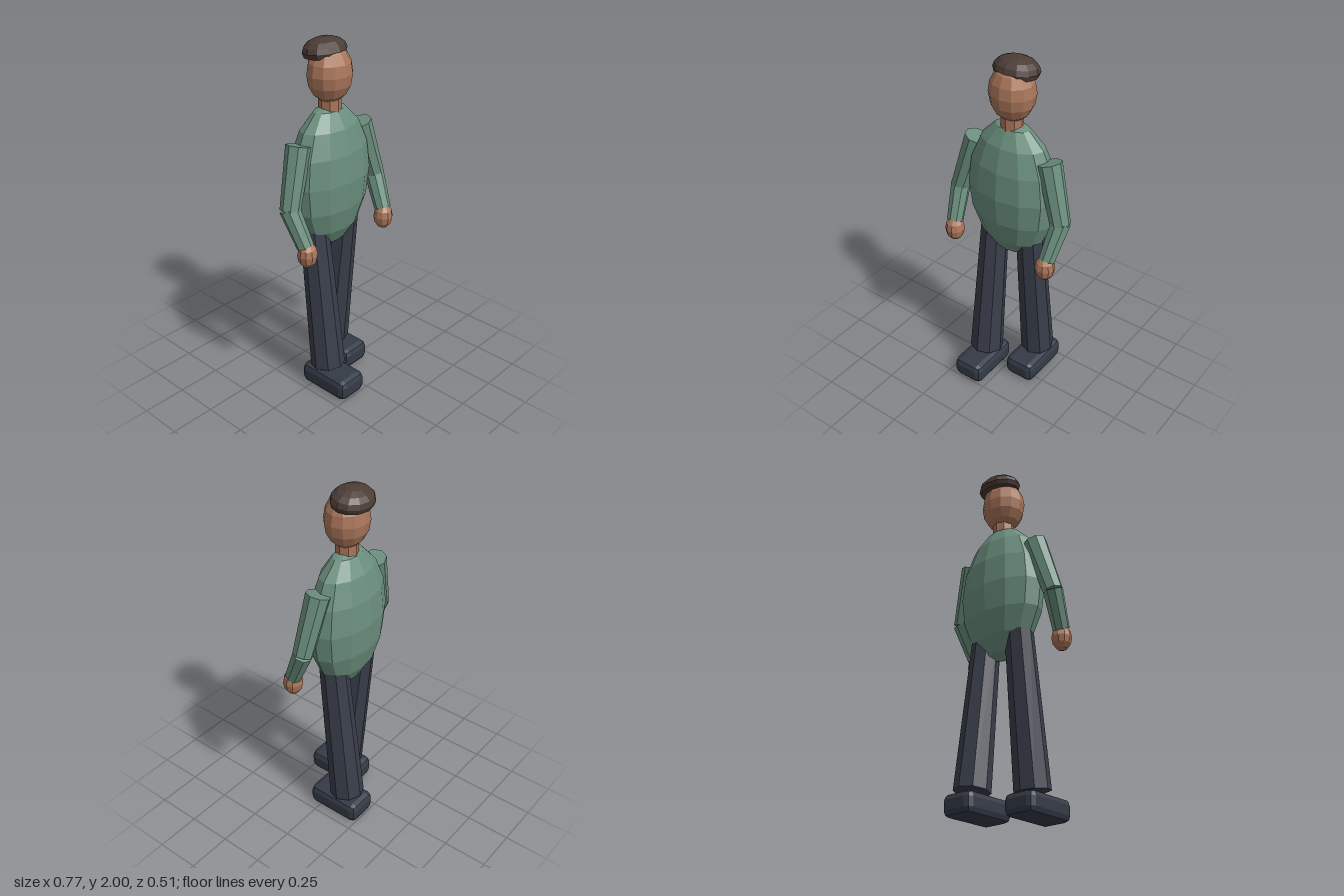
import * as THREE from 'three';
import { RoundedBoxGeometry } from 'three/addons/geometries/RoundedBoxGeometry.js';

const material = (name, color) => {
  const m = new THREE.MeshStandardMaterial({ color, flatShading: true });
  m.name = name;
  return m;
};

export function createModel() {
  const model = new THREE.Group();
  model.name = 'walkingMan';

  const shirt = material('shirtGreen', 0x6b8f7e);
  const trousers = material('trouserSlate', 0x393e4a);
  const leather = material('shoeSlate', 0x343b47);
  const skin = material('skin', 0xaa765a);
  const hairBrown = material('hairBrown', 0x4c3c36);

  const add = (name, geometry, mat, parent = model) => {
    const mesh = new THREE.Mesh(geometry, mat);
    mesh.name = name;
    parent.add(mesh);
    return mesh;
  };

  // Low-poly ellipsoid with the given centre and half sizes
  const ellipsoid = (name, mat, centre, radii, sides = 12, rows = 8, parent = model) => {
    const geometry = new THREE.SphereGeometry(1, sides, rows).scale(...radii);
    const mesh = add(name, geometry, mat, parent);
    mesh.position.set(...centre);
    return mesh;
  };

  // Tapered cylinder running from one point down to another
  const limb = (name, mat, top, bottom, rTop, rBottom, parent = model) => {
    const a = new THREE.Vector3(...top);
    const b = new THREE.Vector3(...bottom);
    const axis = a.clone().sub(b);
    const mesh = add(name, new THREE.CylinderGeometry(rTop, rBottom, axis.length(), 8), mat, parent);
    mesh.position.copy(a).add(b).multiplyScalar(0.5);
    mesh.quaternion.setFromUnitVectors(new THREE.Vector3(0, 1, 0), axis.normalize());
    return mesh;
  };

  // Body, neck and head
  ellipsoid('torso', shirt, [0, 1.255, -0.04], [0.27, 0.405, 0.155]);
  limb('neck', skin, [0, 1.71, -0.036], [0, 1.61, -0.036], 0.06, 0.06);
  ellipsoid('head', skin, [0, 1.82, -0.036], [0.127, 0.155, 0.115]);

  // Hair: a cap flattened underneath and tipped towards the back
  const hair = ellipsoid('hair', hairBrown, [0, 1.931, -0.07], [0.127, 0.069, 0.106]);
  const points = hair.geometry.attributes.position;
  for (let i = 0; i < points.count; i++) points.setY(i, Math.max(points.getY(i), -0.028));
  hair.rotation.x = -0.1;

  for (const side of [1, -1]) {
    const label = side > 0 ? 'left' : 'right';

    // Arm, bent forward at the elbow
    const arm = new THREE.Group();
    arm.name = label + 'Arm';
    model.add(arm);
    limb('upperArm', shirt, [side * 0.23, 1.493, -0.037], [side * 0.327, 1.17, -0.008], 0.067, 0.055, arm);
    limb('forearm', shirt, [side * 0.328, 1.18, -0.012], [side * 0.307, 0.985, 0.078], 0.055, 0.046, arm);
    ellipsoid('hand', skin, [side * 0.302, 0.94, 0.087], [0.055, 0.073, 0.055], 10, 6, arm);

    // Leg: the right one steps forward, the left one back
    const step = -side * 0.095;
    const leg = new THREE.Group();
    leg.name = label + 'Leg';
    model.add(leg);
    limb('trouserLeg', trousers, [side * 0.118, 0.985, -0.042], [side * 0.118, 0.14, -0.04 + step], 0.078, 0.097, leg);
    const shoe = add('shoe', new RoundedBoxGeometry(0.187, 0.122, 0.325, 1, 0.035), leather, leg);
    shoe.position.set(side * 0.118, 0.063, -side * 0.094);
  }

  return model;
}
